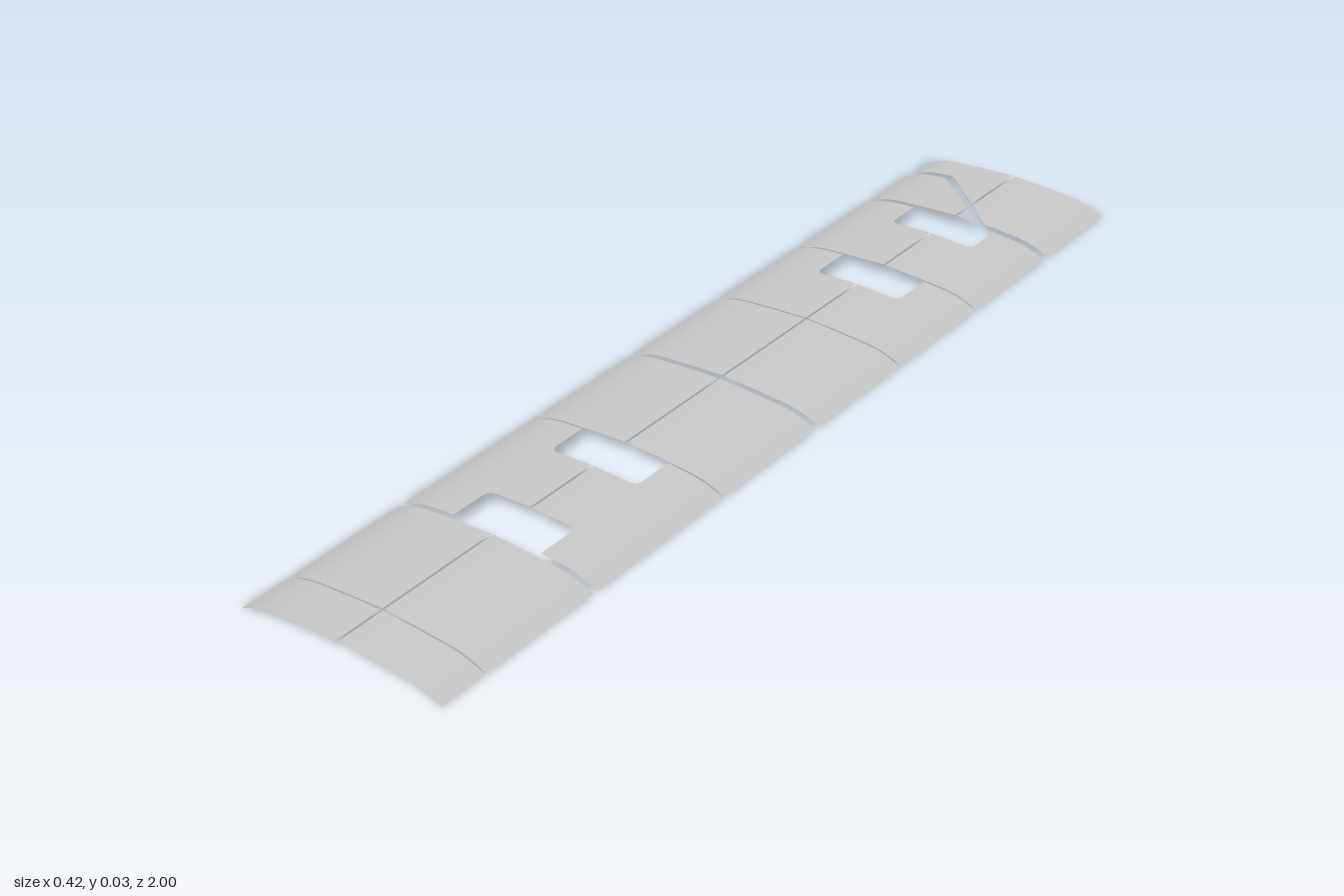
import * as THREE from 'three';

const HALF = 0.211, SEAM = 0.0025;   // half width, half of the centre gap
const WIN = 0.094, R = 0.016;        // window half width, corner radius

// Cross-section of the curved skin: height against distance from the centre
const PROFILE = [[0, 0.03], [0.07, 0.0265], [0.14, 0.0215], [0.165, 0.0175], [0.19, 0.0095], [HALF, 0]];

// Straight-line interpolation through [x, value] points
function lerpPoints(points, x) {
  if (x <= points[0][0]) return points[0][1];
  for (let i = 1; i < points.length; i++) {
    const [x0, a] = points[i - 1], [x1, b] = points[i];
    if (x <= x1) return a + (b - a) * (x - x0) / (x1 - x0);
  }
  return points[points.length - 1][1];
}
const height = x => lerpPoints(PROFILE, Math.abs(x));

// Depth of a round-cornered window cut into a panel edge
function cut(x, depth) {
  const a = Math.abs(x);
  if (a > WIN) return 0;
  const t = Math.max(0, a - (WIN - R));
  return depth - R + Math.sqrt(Math.max(0, R * R - t * t));
}

// Columns across one half, dense around the window corners
const COLUMNS = [SEAM, 0.03, 0.048, 0.063, WIN - R, 0.083, 0.088, 0.0915, WIN, WIN + 0.0001,
  0.106, 0.116, 0.14, 0.152, 0.165, 0.178, 0.19, 0.2, HALF];

// Curved sheet between a back edge and a front edge, over one half
function sheet(side, back, front) {
  const xs = COLUMNS.map(x => x * side).sort((a, b) => a - b);
  const pos = [], nor = [], index = [];
  const n = new THREE.Vector3();
  let count = 0;
  xs.forEach(x => {
    const slope = (height(x + 0.012) - height(x - 0.012)) / 0.024;
    const edge = Math.abs(x) > HALF - 0.012;
    n.set(edge ? 0.42 * Math.sign(x) : -slope, 1, 0).normalize();
    const z0 = back(x), z1 = Math.max(front(x), z0);
    for (const z of [z0, z1]) {
      pos.push(x, height(x), z);
      nor.push(n.x, n.y, n.z);
    }
    if (count) {
      const a = count * 2 - 2;
      index.push(a, a + 1, a + 3, a, a + 3, a + 2);
    }
    count++;
  });
  const g = new THREE.BufferGeometry();
  g.setAttribute('position', new THREE.Float32BufferAttribute(pos, 3));
  g.setAttribute('normal', new THREE.Float32BufferAttribute(nor, 3));
  g.setIndex(index);
  return g;
}

export function createModel() {
  const model = new THREE.Group();
  model.name = 'panelledSkin';
  const grey = new THREE.MeshStandardMaterial({ color: 0xcccccc, side: THREE.DoubleSide });
  grey.name = 'lightGrey';

  const addPanel = (name, side, back, front) => {
    const mesh = new THREE.Mesh(sheet(side, back, front), grey);
    mesh.name = (side > 0 ? 'left' : 'right') + name;
    model.add(mesh);
  };

  // Panels in order: name, back z, front z, window depth at back and at front
  const bands = [
    ['RearWindowPanel', -0.764, -0.513, 0.084, 0],
    ['MidRearWindowPanel', -0.509, -0.25, 0.092, 0],
    ['MidRearPanel', -0.246, 0.013, 0, 0],
    ['MidFrontPanel', 0.025, 0.293, 0, 0],
    ['FrontWindowPanel', 0.297, 0.631, 0.087, 0.087],
    ['FrontPanel', 0.642, 0.898, 0, 0],
    ['FrontEdgePanel', 0.902, 1, 0, 0],
  ];

  // Both edges of the angled gap near the back
  const gapBack = [[-0.106, -0.933], [0.063, -0.78]];
  const gapFront = [[-0.116, -0.918], [0.048, -0.775]];

  for (const side of [1, -1]) {
    for (const [name, z0, z1, winBack, winFront] of bands) {
      addPanel(name, side,
        x => z0 + (winBack ? cut(x, winBack) : 0),
        x => z1 - (winFront ? cut(x, winFront) : 0));
    }
    addPanel('RearEndPanel', side, () => -1, x => lerpPoints(gapBack, x));
    addPanel('AngledRearPanel', side, x => lerpPoints(gapFront, x), () => -0.775);
  }
  return model;
}
